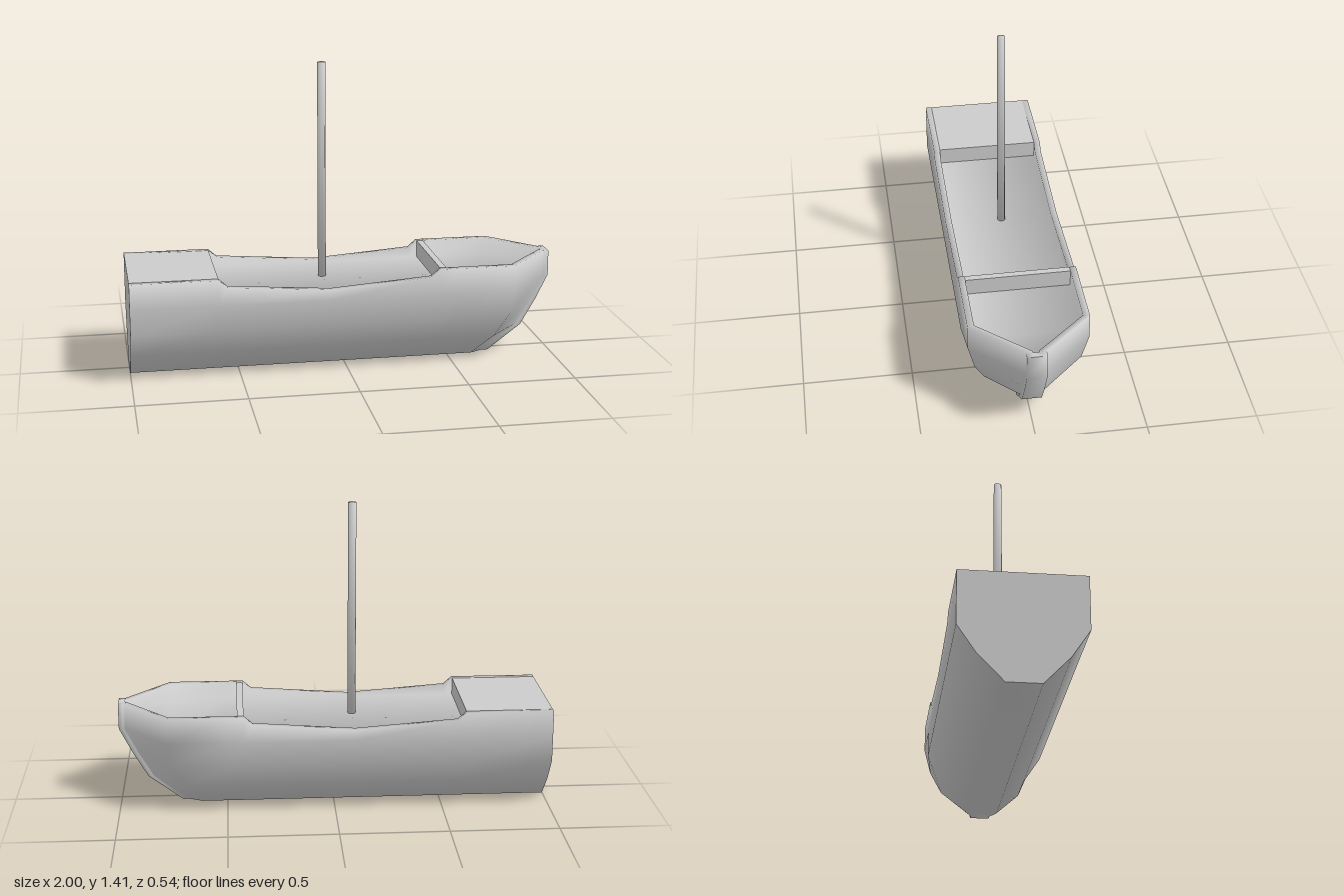
import * as THREE from 'three';
import { toCreasedNormals } from 'three/addons/utils/BufferGeometryUtils.js';

const material = new THREE.MeshStandardMaterial({ color: 0xcccccc, side: THREE.DoubleSide });

// Heights and half widths of the hull section, keel to gunwale
const TOP = 0.48;
const FLOOR = 0.4;
const INNER = 0.24;
const LEVELS = [0, 0.12, 0.24, 0.36, TOP];
const WIDTHS = [0.075, 0.19, 0.27, 0.27, 0.27];

function mesh(name, geometry, crease) {
  const m = new THREE.Mesh(toCreasedNormals(geometry, crease), material);
  m.name = name;
  return m;
}

// One closed ring: down the left outside, up the right, then across the sunken floor
function ring({ x, w, xi, wi, top = TOP, floor = FLOOR }) {
  const outer = (k, s) => [x[k], k === 4 ? top : LEVELS[k], s * w[k]];
  const pts = [];
  for (let k = 4; k >= 0; k--) pts.push(outer(k, 1));
  for (let k = 0; k <= 4; k++) pts.push(outer(k, -1));
  pts.push([xi, top, -wi], [xi, floor, -wi], [xi, floor, wi], [xi, top, wi]);
  return pts;
}

function hullGeometry() {
  const straight = (x, top) => ring({ x: Array(5).fill(x), w: WIDTHS, xi: x, wi: INNER, top });
  const narrow = Array(5).fill(0.045);
  const rings = [
    straight(-1, TOP), straight(-0.6, TOP), straight(-0.56, 0.445), straight(-0.09, 0.41),
    straight(0.38, 0.445), straight(0.42, TOP), straight(0.5, TOP),
    // shoulder, where the sides turn in
    ring({ x: [0.62, 0.7, 0.76, 0.77, 0.77], w: [0.075, 0.19, 0.24, 0.27, 0.27], xi: 0.76, wi: INNER }),
    // raked bow, ending in a narrow solid stem
    ring({ x: [0.68, 0.84, 0.91, 0.97, 0.97], w: narrow, xi: 0.96, wi: 0.015 }),
    ring({ x: [0.69, 0.85, 0.92, 0.98, 0.98], w: narrow, xi: 0.97, wi: 0.015, floor: TOP }),
    ring({ x: [0.71, 0.87, 0.94, 1, 1], w: narrow, xi: 1, wi: 0.015, floor: TOP }),
  ];
  const n = rings[0].length, last = (rings.length - 1) * n, index = [];
  for (let i = 0; i < last; i += n) {
    for (let j = 0; j < n; j++) {
      const a = i + j, b = i + (j + 1) % n;
      index.push(a, b, a + n, b, b + n, a + n);
    }
  }
  // leading face of the stem
  for (let k = 0; k < 4; k++) {
    const a = last + k, d = last + 9 - k;
    index.push(a, a + 1, d, a + 1, d - 1, d);
  }
  const g = new THREE.BufferGeometry();
  g.setAttribute('position', new THREE.Float32BufferAttribute(rings.flat(2), 3));
  g.setIndex(index);
  return g;
}

// Flat stern face
function transomGeometry() {
  const side = WIDTHS.map((w, k) => new THREE.Vector2(w, LEVELS[k]));
  const mirror = side.map((p) => new THREE.Vector2(-p.x, p.y)).reverse();
  return new THREE.ShapeGeometry(new THREE.Shape([...side, ...mirror]))
    .rotateY(-Math.PI / 2).translate(-1, 0, 0);
}

// Block between floor and gunwale, spanning the inside of the hull
function block(x0, x1) {
  return new THREE.BoxGeometry(x1 - x0, TOP - FLOOR, 2 * INNER)
    .translate((x0 + x1) / 2, (TOP + FLOOR) / 2, 0);
}

export function createModel() {
  const boat = new THREE.Group();
  boat.name = 'boat';
  boat.add(mesh('hull', hullGeometry(), 1.7));
  boat.add(mesh('transom', transomGeometry(), 0.5));
  boat.add(mesh('sternDeck', block(-1, -0.6), 0.5));
  boat.add(mesh('bulkhead', block(0.42, 0.45), 0.5));

  const mast = mesh('mast', new THREE.CylinderGeometry(0.019, 0.019, 1.01, 8), 1.7);
  mast.position.set(-0.09, 0.905, 0);
  boat.add(mast);
  return boat;
}
